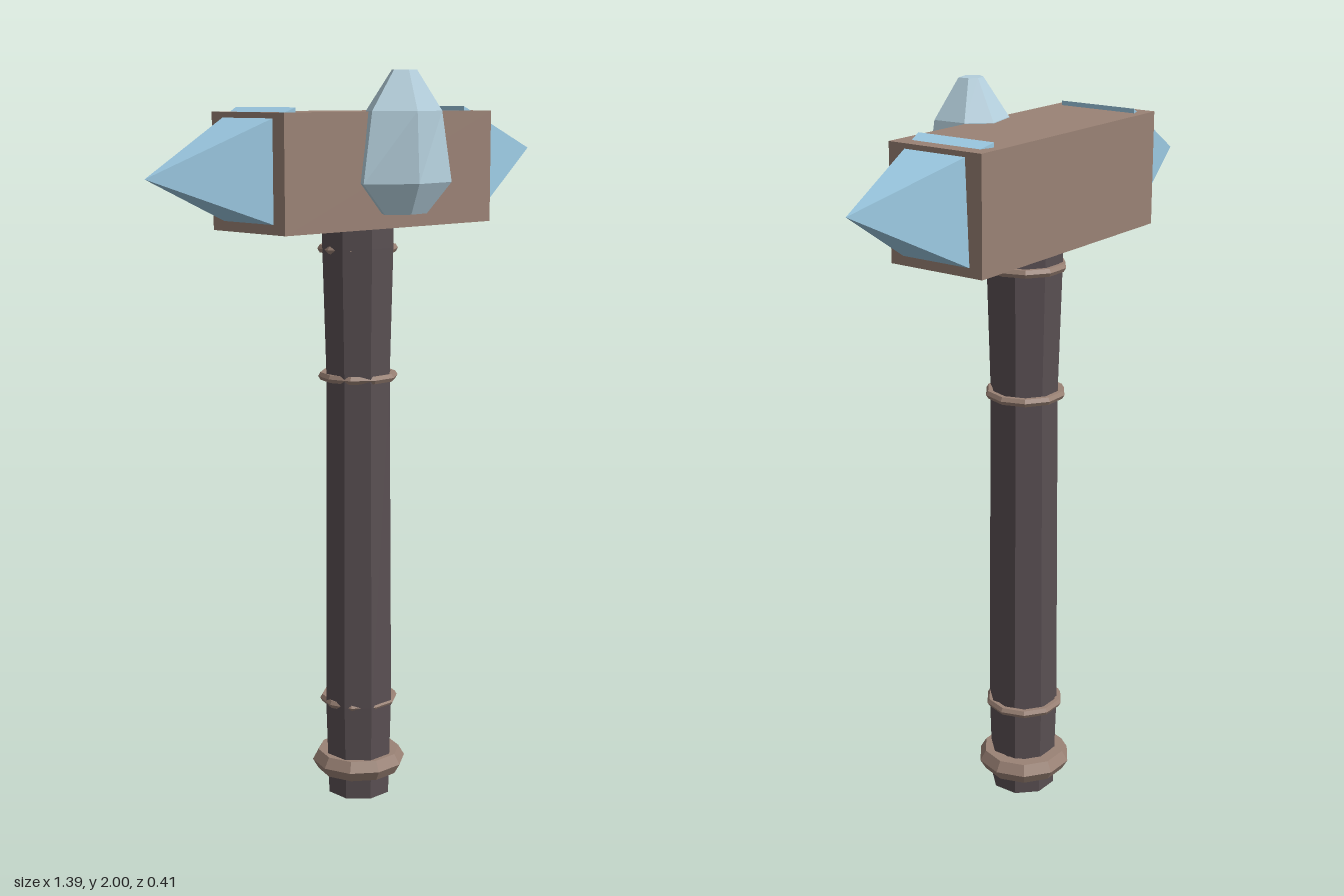
import * as THREE from 'three';

const material = (color) => new THREE.MeshStandardMaterial({ color, flatShading: true });

// Closed solid joining equal-sized rings of [x, y, z] points, fanned shut at both ends.
// Each ring runs clockwise as seen looking back from the last ring to the first reversed.
function loft(rings) {
  const n = rings[0].length;
  const pos = [];
  const tri = (a, b, c) => pos.push(...a, ...b, ...c);
  for (let r = 0; r < rings.length - 1; r++) {
    for (let i = 0; i < n; i++) {
      const j = (i + 1) % n;
      const [a, b] = [rings[r], rings[r + 1]];
      tri(a[i], a[j], b[j]);
      tri(a[i], b[j], b[i]);
    }
  }
  const first = rings[0], last = rings[rings.length - 1];
  for (let i = 1; i < n - 1; i++) {
    tri(first[0], first[i + 1], first[i]);
    tri(last[0], last[i], last[i + 1]);
  }
  const g = new THREE.BufferGeometry();
  g.setAttribute('position', new THREE.Float32BufferAttribute(pos, 3));
  g.computeVertexNormals();
  return g;
}

export function createModel() {
  const model = new THREE.Group();
  model.name = 'warHammer';
  const wood = material(0x5a5053);
  const bronze = material(0x9a8275);
  const ice = material(0x9ccae3);
  const paleIce = material(0xb4cfdc);

  const add = (name, geometry, mat, x = 0, y = 0, z = 0) => {
    const mesh = new THREE.Mesh(geometry, mat);
    mesh.name = name;
    mesh.position.set(x, y, z);
    model.add(mesh);
  };

  // Eight-sided handle with flats to the front and sides, flaring at both ends
  const handle = [[0.09, 0], [0.098, 0.27], [0.092, 1.19], [0.102, 1.54], [0.102, 1.66]];
  add('handle', loft(handle.map(([r, y]) => Array.from({ length: 8 }, (_, i) => {
    const a = -(i + 0.5) * Math.PI / 4;
    return [-0.008 + r * Math.cos(a), y, -0.05 + r * Math.sin(a)];
  }))), wood);

  // Thin bands and the heavier pommel collar
  const band = (name, y, radius, tube) =>
    add(name, new THREE.TorusGeometry(radius, tube, 6, 10).rotateX(Math.PI / 2), bronze, 0, y, -0.06);
  [0.27, 1.19, 1.535].forEach((y, i) => band('handleBand' + (i + 1), y, 0.097, 0.012));
  band('pommelCollar', 0.087, 0.098, 0.033);

  // Head block
  add('headBlock', new THREE.BoxGeometry(0.75, 0.3, 0.28), bronze, 0, 1.745, -0.065);

  // Four-sided spikes, their bases sunk into the block and showing through its top
  const spike = (name, apex, topX, bottomX) => {
    const base = [[topX, 1.907, 0.05], [topX, 1.907, -0.18],
      [bottomX, 1.598, -0.18], [bottomX, 1.598, 0.05]];
    if (apex[0] > 0) base.reverse();
    add(name, loft([base, base.map(() => apex)]), ice);
  };
  spike('leftSpike', [0.692, 1.785, -0.065], 0.293, 0.335);
  spike('rightSpike', [-0.695, 1.74, -0.065], -0.315, -0.315);

  // Irregular six-sided crystal on the front: two body rings, each drawn in to a small cap
  const lower = [[0.11, 0.18], [0.105, 0.07], [0.035, 0], [-0.085, 0.03], [-0.15, 0.12], [-0.03, 0.2]];
  const upper = [[0.085, 0.168], [0.08, 0.075], [0.03, 0.02], [-0.07, 0.045], [-0.117, 0.117], [-0.035, 0.197]];
  const ring = (points, y, s = 1) =>
    points.map(([x, z]) => [-0.005 + (x + 0.005) * s, y, 0.12 + (z - 0.12) * s]);
  add('frontCrystal', loft([ring(lower, 1.635, 0.48), ring(lower, 1.715),
    ring(upper, 1.897), ring(upper, 2, 0.33)]), paleIce);

  return model;
}
